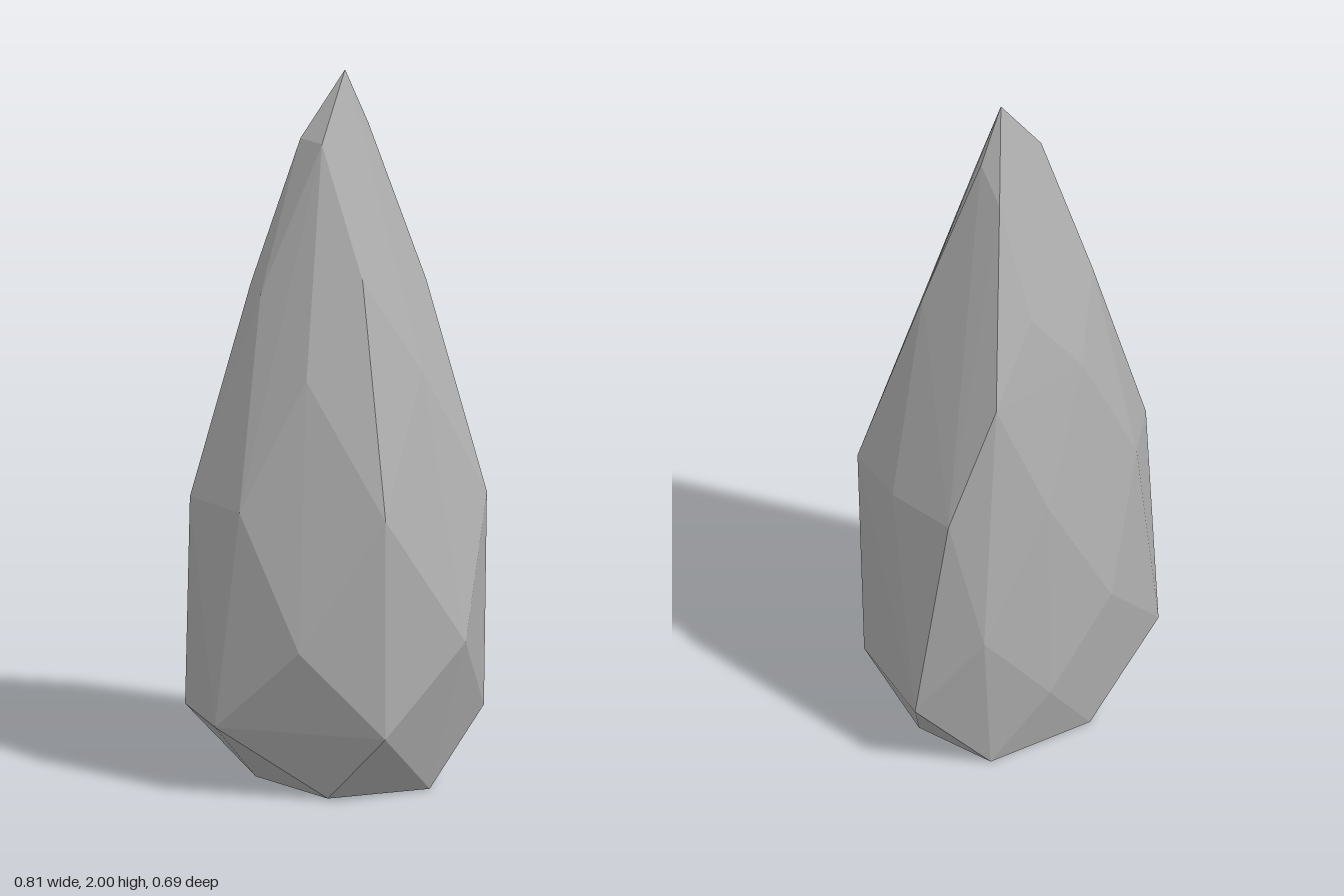
import * as THREE from 'three';
import { ConvexGeometry } from 'three/addons/geometries/ConvexGeometry.js';

// Corner points of the cut stone: [height, then x, z pairs around the ring]
const rings = [
  [0, -0.095, 0.175, 0.2, 0.17, 0.3, -0.07, 0.205, -0.3, -0.12, -0.275, -0.21, -0.1],
  [0.2, 0.015, 0.34, 0.385, 0.085, 0.405, -0.235, 0.04, -0.338, -0.385, -0.185, -0.385, 0.07],
  [0.445, -0.21, 0.27, 0.26, 0.3, 0.25, -0.345, -0.165, -0.315],
  [0.82, 0.015, 0.343, 0.375, 0.14, 0.38, -0.065, 0.32, -0.27, 0.04, -0.33, -0.3, -0.215, -0.41, -0.07, -0.335, 0.13],
  [1.19, -0.16, 0.185, 0.175, 0.18, 0.19, -0.305, -0.12, -0.235],
  [1.4, 0.245, 0.005, 0.04, -0.235, -0.225, -0.1, -0.235, 0.015],
  [1.46, 0.005, 0.175],
  [1.75, 0.09, -0.145],
  [1.78, 0.07, 0.02],
  [1.82, -0.07, 0.05, -0.105, -0.03],
  [1.84, 0.1, -0.06],
  [2, 0.027, -0.04],
];

export function createModel() {
  const group = new THREE.Group();
  group.name = 'standingStone';

  const stone = new THREE.MeshStandardMaterial({ color: 0xb0b0b0 });
  stone.name = 'grey stone';

  const points = [];
  for (const [y, ...xz] of rings) {
    for (let i = 0; i < xz.length; i += 2) points.push(new THREE.Vector3(xz[i], y, xz[i + 1]));
  }

  // Faceted, pointed rock: the flat-sided hull around the corners
  const rock = new THREE.Mesh(new ConvexGeometry(points), stone);
  rock.name = 'rock';
  group.add(rock);
  return group;
}
